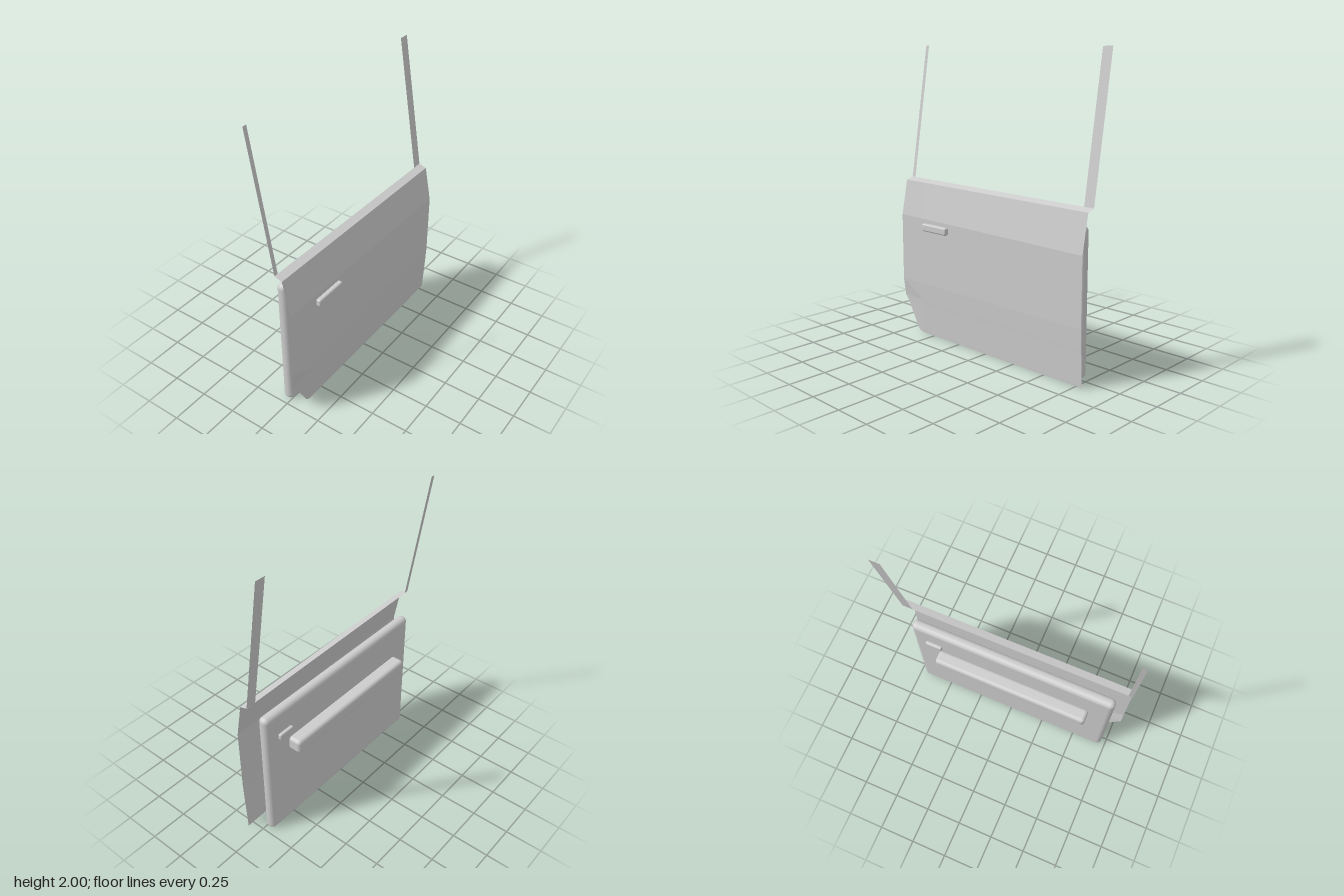
import * as THREE from 'three';
import { RoundedBoxGeometry } from 'three/addons/geometries/RoundedBoxGeometry.js';

export function createModel() {
  const door = new THREE.Group();
  door.name = 'door';
  const grey = new THREE.MeshStandardMaterial({ color: 0xcccccc, side: THREE.DoubleSide });
  grey.name = 'light grey';

  function add(name, geometry) {
    const mesh = new THREE.Mesh(geometry, grey);
    mesh.name = name;
    door.add(mesh);
    return mesh;
  }

  // Open sheet through rows of points, flat shaded; faces +x when rows run downwards and z rises
  function sheet(rows) {
    const pos = [];
    for (let r = 0; r < rows.length - 1; r++) {
      for (let c = 0; c < rows[r].length - 1; c++) {
        const a = rows[r][c], b = rows[r][c + 1], d = rows[r + 1][c], e = rows[r + 1][c + 1];
        pos.push(...a, ...b, ...d, ...b, ...e, ...d);
      }
    }
    const g = new THREE.BufferGeometry();
    g.setAttribute('position', new THREE.Float32BufferAttribute(pos, 3));
    g.computeVertexNormals();
    return g;
  }

  // Rounded box given by its limits on each axis
  function pad(name, x0, x1, y0, y1, z0, z1, radius) {
    const g = new RoundedBoxGeometry(x1 - x0, y1 - y0, z1 - z0, 4, radius);
    add(name, g).position.set((x0 + x1) / 2, (y0 + y1) / 2, (z0 + z1) / 2);
  }

  // Outer skin: x, y at the rear, y at the front, front z, inward lean of the front edge
  const back = -0.793, bend = 0.6;
  const profile = [
    [0.01, 1.07, 1.092, 0.795, 0],
    [0.063, 1.053, 1.075, 0.795, 0],
    [0.11, 0.81, 0.835, 0.795, 0],
    [0.11, 0.37, 0.37, 0.795, 0],
    [0.104, 0.25, 0.25, 0.795, 0.01],
    [0.102, 0.215, 0.215, 0.768, 0.009],
    [0.092, 0.02, 0.02, 0.66, 0.002],
    [0.091, 0.004, 0.004, 0.63, 0],
  ];
  add('outerSkin', sheet(profile.map(([x, yBack, yFront, front, lean]) => {
    const yBend = yBack + (yFront - yBack) * (bend - back) / (front - back);
    return [[x, yBack, back], [x, yBend, bend], [x - lean, yFront, front]];
  })));

  // Window frame posts, leaning inward
  function post(name, z0, z1, yTop, yBase) {
    add(name, sheet([
      [[-0.136, yTop, z0], [-0.136, yTop, z1]],
      [[0.01, yBase, z0], [0.01, yBase, z1]],
    ]));
  }
  post('frontWindowPost', 0.766, 0.795, 2, 1.092);
  post('rearWindowPost', -0.793, -0.722, 1.985, 1.071);

  // Inner trim and handles
  pad('innerPanel', -0.063, 0.011, 0.004, 0.952, -0.72, 0.716, 0.034);
  pad('armrest', -0.15, -0.05, 0.6, 0.7, -0.53, 0.567, 0.025);
  pad('innerHandle', -0.084, -0.055, 0.746, 0.79, -0.62, -0.503, 0.01);
  pad('outerHandle', 0.111, 0.146, 0.754, 0.806, 0.32, 0.555, 0.012);

  return door;
}
